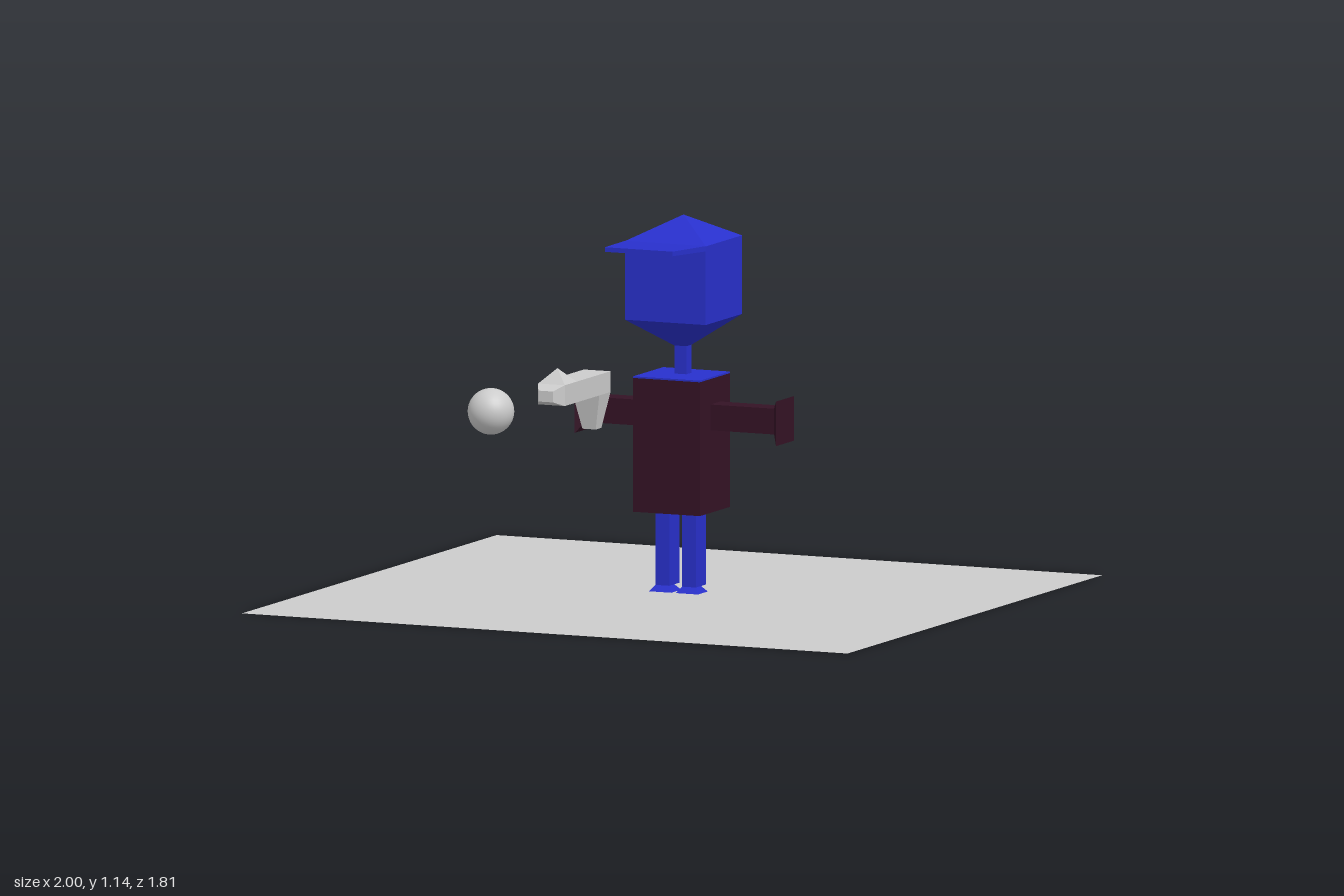
import * as THREE from 'three';

const blue = new THREE.MeshStandardMaterial({ color: 0x2830cc, flatShading: true });
const maroon = new THREE.MeshStandardMaterial({ color: 0x341325, flatShading: true });
const grey = new THREE.MeshStandardMaterial({ color: 0xcccccc, flatShading: true });
const smoothGrey = new THREE.MeshStandardMaterial({ color: 0xcccccc });
const groundGrey = new THREE.MeshStandardMaterial({ color: 0xcccccc, side: THREE.DoubleSide });

// Tapered block: runs along an axis from a to b. Each end is a rectangle
// [min, max, min, max] in the two remaining axes, in x, y, z order.
function taper(name, material, axis, a, b, endA, endB = endA) {
  const geometry = new THREE.BoxGeometry(1, 1, 1);
  const p = geometry.attributes.position;
  const others = [0, 1, 2].filter((i) => i !== axis);
  for (let i = 0; i < p.count; i++) {
    const end = p.getComponent(i, axis) < 0 ? endA : endB;
    others.forEach((o, k) => {
      p.setComponent(i, o, end[2 * k + (p.getComponent(i, o) < 0 ? 0 : 1)]);
    });
    p.setComponent(i, axis, p.getComponent(i, axis) < 0 ? a : b);
  }
  geometry.computeVertexNormals();
  const mesh = new THREE.Mesh(geometry, material);
  mesh.name = name;
  return mesh;
}

function part(name, ...children) {
  const group = new THREE.Group();
  group.name = name;
  group.add(...children);
  return group;
}

export function createModel() {
  const model = new THREE.Group();
  model.name = 'figure';
  const X = 0, Y = 1, Z = 2;

  // Flat ground sheet
  const ground = new THREE.Mesh(new THREE.PlaneGeometry(2, 1.81), groundGrey);
  ground.rotation.x = -Math.PI / 2;
  ground.name = 'groundSheet';
  model.add(ground);

  // Torso with blue shoulders and neck
  const torsoRect = [-0.105, 0.115, -0.163, 0.05];
  const neckRect = [-0.018, 0.022, -0.093, -0.055];
  model.add(part('body',
    taper('torso', maroon, Y, 0.25, 0.655, torsoRect),
    taper('shoulderTop', blue, Y, 0.655, 0.66, torsoRect),
    taper('neck', blue, Y, 0.66, 0.75, neckRect)));

  // Head with tapering chin, pointed cap and peak
  const headRect = [-0.131, 0.136, -0.205, 0.053];
  const tip = [0.003, 0.003, -0.075, -0.075];
  model.add(part('head',
    taper('chin', blue, Y, 0.745, 0.83, neckRect, headRect),
    taper('face', blue, Y, 0.83, 1.068, headRect),
    taper('capTop', blue, Y, 1.068, 1.14, headRect, tip),
    taper('capPeak', blue, Z, 0.053, 0.245,
      [-0.131, 0.136, 1.053, 1.069], [-0.107, 0.115, 1.062, 1.076])));

  // Legs with flared feet
  for (const [side, x] of [['right', -0.041], ['left', 0.047]]) {
    model.add(part(side + 'Leg',
      taper('shin', blue, Y, 0.022, 0.25, [x - 0.023, x + 0.023, -0.092, -0.02]),
      taper('foot', blue, Y, 0.004, 0.022,
        [x - 0.037, x + 0.037, -0.074, -0.003], [x - 0.023, x + 0.023, -0.056, -0.02])));
  }

  // Arms with flared hands
  const armRect = [0.5, 0.578, -0.096, -0.026];
  const handRect = [0.47, 0.605, -0.123, 0.005];
  model.add(part('leftArm',
    taper('sleeve', maroon, X, 0.115, 0.325, armRect),
    taper('hand', maroon, X, 0.325, 0.346, armRect, handRect)));
  model.add(part('rightArm',
    taper('sleeve', maroon, X, -0.298, -0.105, armRect),
    taper('hand', maroon, X, -0.319, -0.298, handRect, armRect)));

  // Blaster: barrel, muzzle, pyramid sight and grip
  const barrelRect = [-0.305, -0.217, 0.595, 0.658];
  model.add(part('blaster',
    taper('barrel', grey, Z, -0.03, 0.295, barrelRect),
    taper('muzzle', grey, Z, 0.295, 0.335, barrelRect, [-0.286, -0.238, 0.61, 0.643]),
    taper('sight', grey, Y, 0.658, 0.702,
      [-0.305, -0.217, 0.21, 0.295], [-0.261, -0.261, 0.253, 0.253]),
    taper('grip', grey, Y, 0.488, 0.595,
      [-0.282, -0.238, -0.01, 0.03], [-0.305, -0.217, -0.03, 0.05])));

  // Floating ball in front of the muzzle
  const ball = new THREE.Mesh(new THREE.SphereGeometry(0.07, 32, 20), smoothGrey);
  ball.position.set(-0.261, 0.633, 0.725);
  ball.name = 'ball';
  model.add(ball);

  return model;
}
